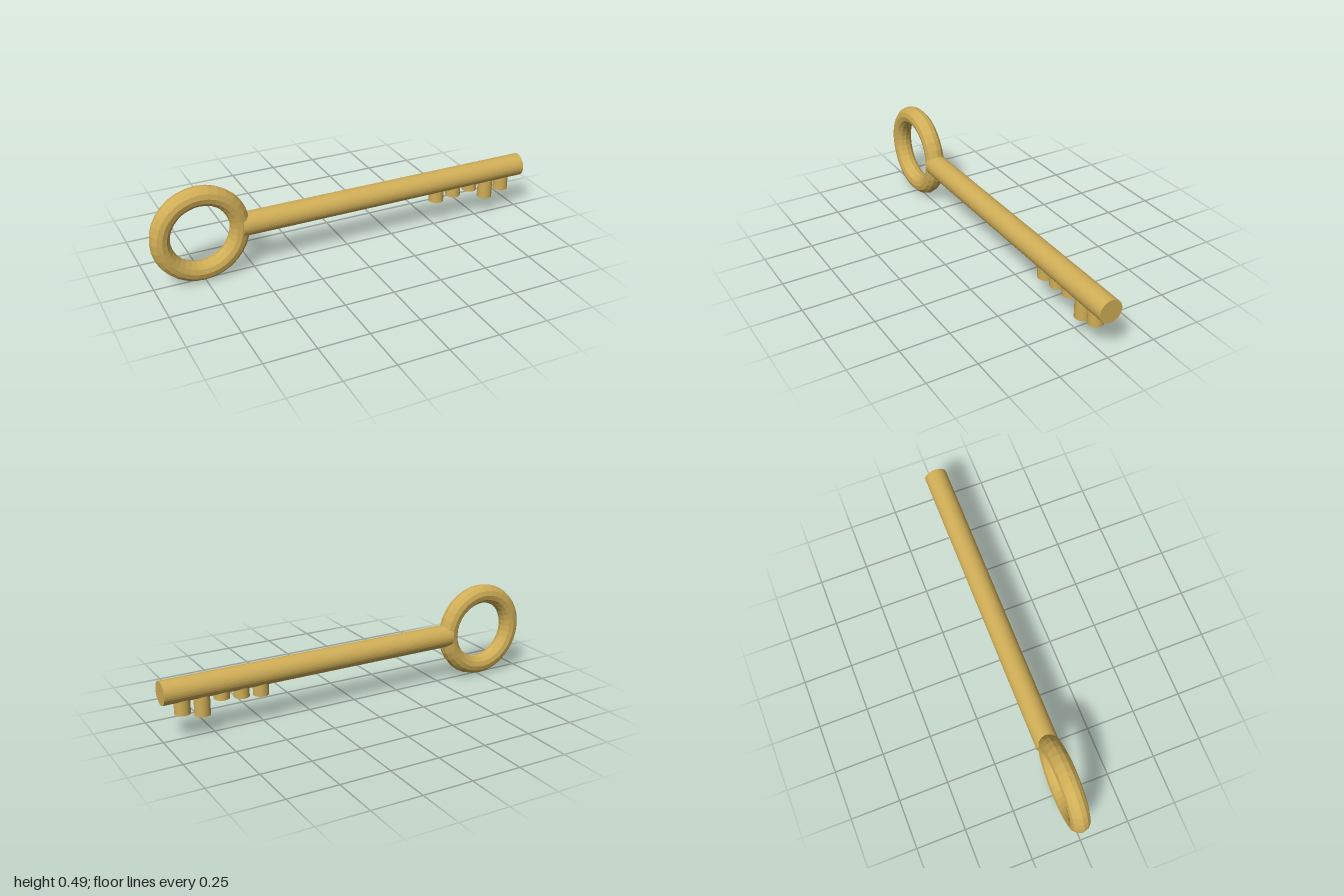
import * as THREE from 'three';

export function createModel() {
  const key = new THREE.Group();
  key.name = 'key';
  const brass = new THREE.MeshStandardMaterial({ color: 0xd0ae57, flatShading: true });
  const axisY = 0.245;

  const add = (name, geometry, x, y) => {
    const mesh = new THREE.Mesh(geometry, brass);
    mesh.name = name;
    mesh.position.set(x, y, 0);
    key.add(mesh);
    return mesh;
  };

  // Ring handle
  add('bow', new THREE.TorusGeometry(0.1945, 0.0485, 12, 32), -0.757, axisY);

  // Round shaft, running from inside the ring to the tip
  const shaftStart = -0.56, shaftEnd = 1;
  const shaft = add('shaft',
    new THREE.CylinderGeometry(0.058, 0.058, shaftEnd - shaftStart, 32),
    (shaftStart + shaftEnd) / 2, axisY);
  shaft.rotation.z = -Math.PI / 2;

  // Round teeth of uneven length, rooted inside the shaft: [x, bottom y]
  const teeth = [[0.508, 0.14], [0.607, 0.15], [0.706, 0.162], [0.804, 0.1], [0.9, 0.127]];
  const toothTop = 0.23;
  teeth.forEach(([x, bottom], i) => {
    add(`tooth${i + 1}`,
      new THREE.CylinderGeometry(0.038, 0.038, toothTop - bottom, 32),
      x, (toothTop + bottom) / 2);
  });

  return key;
}
